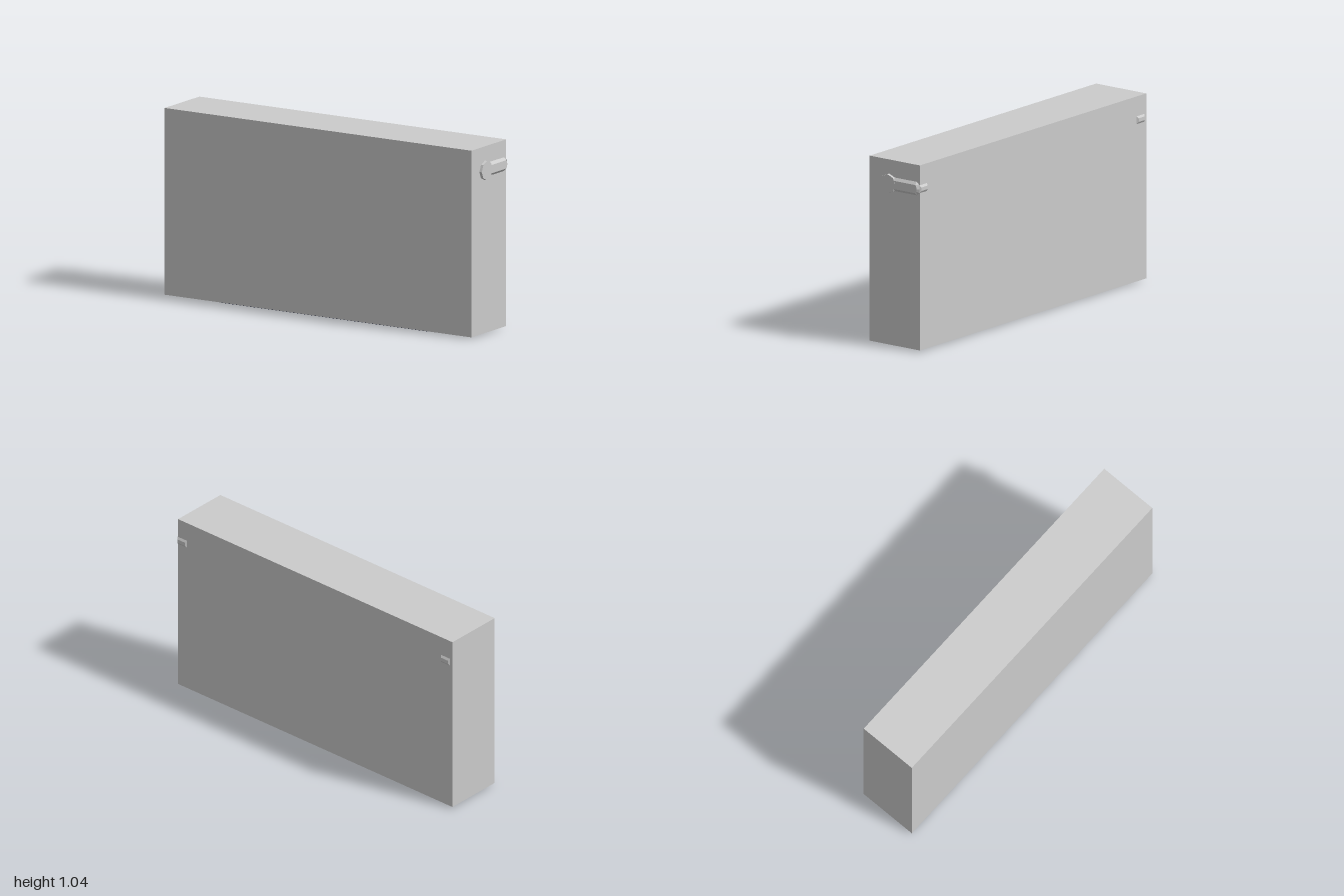
import * as THREE from 'three';

const grey = new THREE.MeshStandardMaterial({ color: 0xcccccc, flatShading: true });
const dark = new THREE.MeshStandardMaterial({ color: 0x2b3150, flatShading: true });

// Raised plate from two matching outlines [u, v], the lower at height 0 and the upper at height h (local z)
function bevelPlate(name, lower, upper, h, material = grey) {
  const n = lower.length, pos = [];
  const P = (ring, i, z) => [ring[i % n][0], ring[i % n][1], z];
  for (let i = 0; i < n; i++) {
    const a = P(lower, i, 0), b = P(lower, i + 1, 0), c = P(upper, i + 1, h), d = P(upper, i, h);
    pos.push(...a, ...b, ...c, ...a, ...c, ...d);
    if (i > 0 && i < n - 1) {
      pos.push(...P(upper, 0, h), ...P(upper, i, h), ...P(upper, i + 1, h));
      pos.push(...P(lower, 0, 0), ...P(lower, i + 1, 0), ...P(lower, i, 0));
    }
  }
  const geo = new THREE.BufferGeometry();
  geo.setAttribute('position', new THREE.Float32BufferAttribute(pos, 3));
  geo.computeVertexNormals();
  const mesh = new THREE.Mesh(geo, material);
  mesh.name = name;
  return mesh;
}

const rect = (w, h) => [[-w, -h], [w, -h], [w, h], [-w, h]];
const octagon = (r) => Array.from({ length: 8 }, (_, i) => [r * Math.cos(i * Math.PI / 4), r * Math.sin(i * Math.PI / 4)]);

export function createModel() {
  const model = new THREE.Group();

  // Main slab
  const body = new THREE.Mesh(new THREE.BoxGeometry(1.985, 1.035, 0.345), grey);
  body.name = 'body';
  body.position.set(-0.0075, 0.5275, 0.0045);
  model.add(body);

  // Side latch: octagonal pad plus a chamfered arm reaching the rear edge
  const latch = new THREE.Group();
  latch.name = 'sideLatch';
  latch.position.set(0.985, 0.912, 0);
  latch.rotation.y = Math.PI / 2; // local x = -z, local z = +x
  const pad = bevelPlate('latchPad', octagon(0.054), octagon(0.053), 0.015);
  pad.position.x = -0.043;
  const arm = bevelPlate('latchArm',
    [[-0.02, -0.038], [0.146, -0.038], [0.165, -0.023], [0.173, 0], [0.165, 0.023], [0.146, 0.038], [-0.02, 0.038]],
    [[-0.02, -0.023], [0.148, -0.023], [0.154, -0.012], [0.158, 0], [0.154, 0.012], [0.148, 0.023], [-0.02, 0.023]],
    0.0145);
  latch.add(pad, arm);
  model.add(latch);

  // Rear lugs near both upper corners
  for (const [name, x] of [['leftRearLug', 0.955], ['rightRearLug', -0.95]]) {
    const lug = bevelPlate(name, rect(0.034, 0.022), rect(0.026, 0.01), 0.008);
    lug.position.set(x, 0.912, -0.168);
    lug.rotation.y = Math.PI;
    model.add(lug);
  }

  // Dark strip under the front edge
  const strip = bevelPlate('bottomStrip', rect(0.673, 0.016), rect(0.668, 0.011), 0.01, dark);
  strip.position.set(0.007, 0.01, 0.131);
  strip.rotation.x = Math.PI / 2;
  model.add(strip);

  return model;
}
